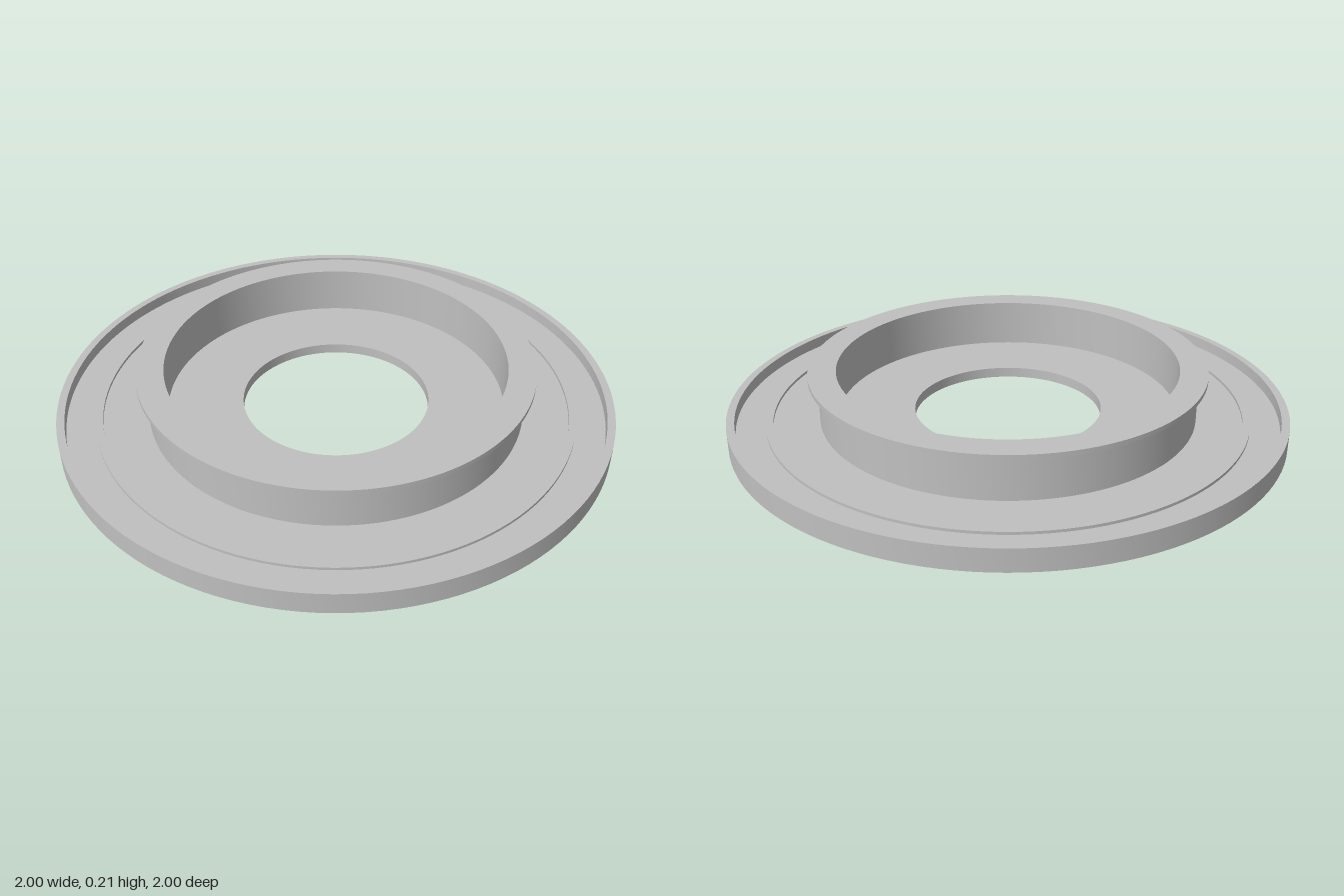
import * as THREE from 'three';
import { toCreasedNormals } from 'three/addons/utils/BufferGeometryUtils.js';

const SEGMENTS = 128;

// Revolves a [radius, height] profile, keeping its corners sharp.
function ring(name, profile, material) {
  const points = profile.map(([r, y]) => new THREE.Vector2(r, y));
  const geometry = toCreasedNormals(new THREE.LatheGeometry(points, SEGMENTS), 0.5);
  const mesh = new THREE.Mesh(geometry, material);
  mesh.name = name;
  return mesh;
}

export function createModel() {
  const group = new THREE.Group();
  group.name = 'flangedRing';
  const grey = new THREE.MeshStandardMaterial({ color: 0xc0c0c0 });
  grey.name = 'plain grey';

  const floor = 0.038; // top of the base plate
  const rimTop = 0.08;
  const flangeBottom = 0.198;
  const top = 0.214;

  // Base plate with a raised outer rim and a centre hole
  group.add(ring('basePlate', [
    [0.34, 0], [1, 0], [1, rimTop], [0.972, rimTop],
    [0.972, floor], [0.34, floor], [0.34, 0],
  ], grey));

  // Low bead on the plate between rim and collar
  group.add(ring('bead', [
    [0.868, floor], [0.868, floor + 0.01], [0.843, floor + 0.01], [0.843, floor],
  ], grey));

  // Upright collar with a thin lip overhanging outward
  group.add(ring('collar', [
    [0.68, floor], [0.68, flangeBottom], [0.712, flangeBottom],
    [0.712, top], [0.613, top], [0.613, floor],
  ], grey));

  return group;
}
